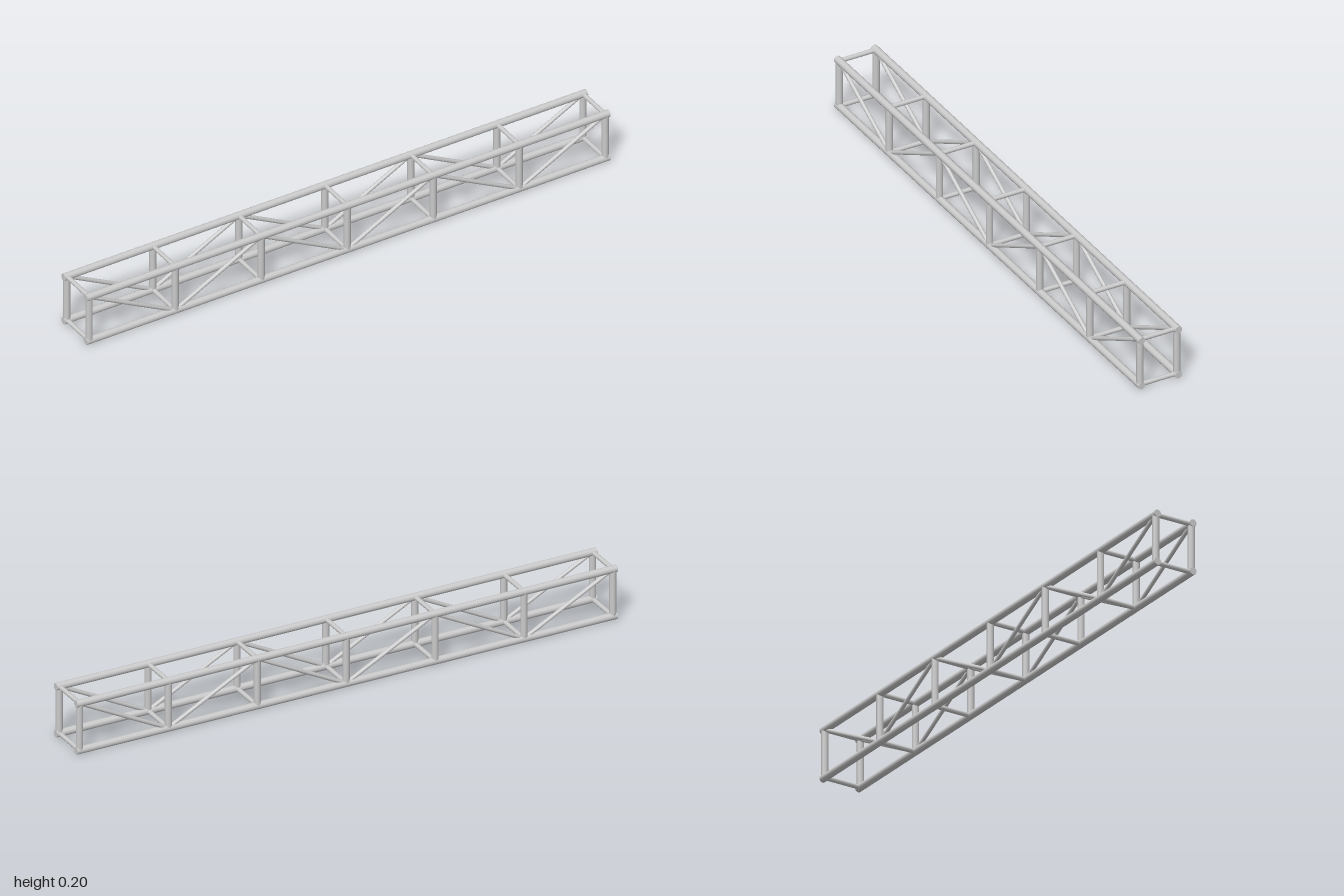
import * as THREE from 'three';

const material = new THREE.MeshStandardMaterial({ color: 0xcccccc });
const UP = new THREE.Vector3(0, 1, 0);

// Round tube running between two points
function tube(name, a, b, radius) {
  const start = new THREE.Vector3(...a);
  const dir = new THREE.Vector3(...b).sub(start);
  const mesh = new THREE.Mesh(new THREE.CylinderGeometry(radius, radius, dir.length(), 10), material);
  mesh.name = name;
  mesh.position.copy(start).addScaledVector(dir, 0.5);
  mesh.quaternion.setFromUnitVectors(UP, dir.normalize());
  return mesh;
}

export function createModel() {
  const model = new THREE.Group();
  model.name = 'boxTruss';

  const bays = 6, endX = 0.987, halfZ = 0.069;
  const low = 0.013, high = 0.185;
  const chordR = 0.013, postR = 0.012, crossR = 0.008, diagonalR = 0.007;
  const nodeX = (i) => -endX + (2 * endX * i) / bays;

  // Four full-length chords
  for (const y of [low, high])
    for (const z of [-halfZ, halfZ])
      model.add(tube('chord', [-1, y, z], [1, y, z], chordR));

  for (let i = 0; i <= bays; i++) {
    const x = nodeX(i);

    // Crossbars joining the two side frames
    for (const y of [low, high])
      model.add(tube('crossbar', [x, y, -halfZ], [x, y, halfZ], crossR));

    for (const z of [-halfZ, halfZ]) {
      // Upright posts
      model.add(tube('post', [x, low, z], [x, high, z], postR));

      // Zigzag diagonals: high at even nodes, low at odd nodes
      if (i < bays) {
        const [y0, y1] = i % 2 ? [low, high] : [high, low];
        model.add(tube('diagonal', [x, y0, z], [nodeX(i + 1), y1, z], diagonalR));
      }
    }
  }
  return model;
}
